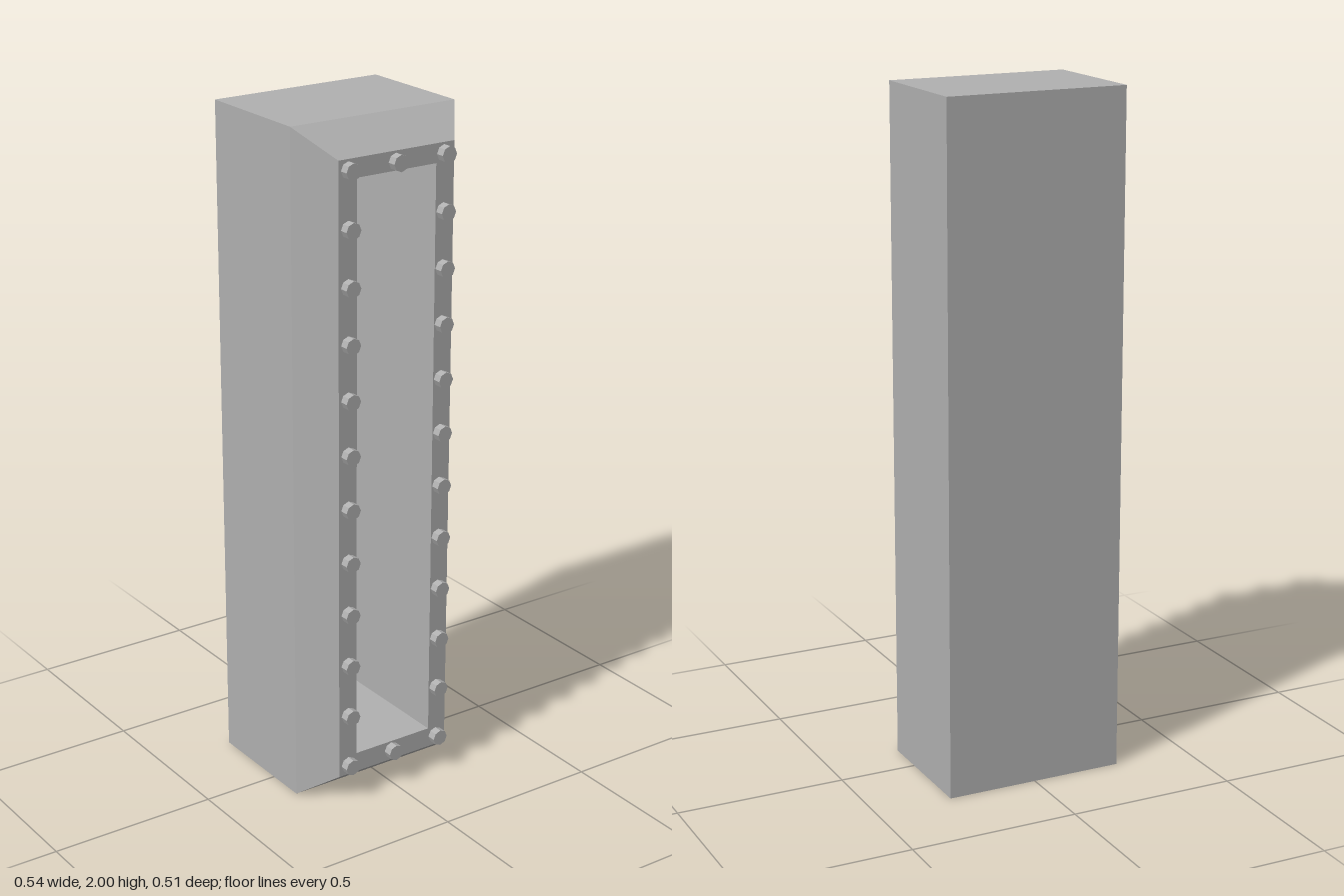
import * as THREE from 'three';

const steel = new THREE.MeshStandardMaterial({ color: 0xb0b0b0 });
steel.name = 'grey steel';

// Rectangular ring, counter-clockwise seen from the front
function ring(halfWidth, bottom, top, z) {
  return [[-halfWidth, bottom, z], [halfWidth, bottom, z], [halfWidth, top, z], [-halfWidth, top, z]];
}

// Flat-faced loft through rings, closed at both ends
function loftRings(rings) {
  const points = [];
  const quad = (a, b, c, d) => points.push(...a, ...b, ...c, ...a, ...c, ...d);
  const first = rings[0], last = rings[rings.length - 1];
  quad(first[3], first[2], first[1], first[0]);
  for (let i = 0; i < rings.length - 1; i++) {
    for (let k = 0; k < 4; k++) {
      const n = (k + 1) % 4;
      quad(rings[i][k], rings[i][n], rings[i + 1][n], rings[i + 1][k]);
    }
  }
  quad(...last);
  const geometry = new THREE.BufferGeometry();
  geometry.setAttribute('position', new THREE.Float32BufferAttribute(points, 3));
  geometry.computeVertexNormals();
  return geometry;
}

export function createModel() {
  const model = new THREE.Group();
  model.name = 'boltedHousing';

  // Box, bevelled edge, flat front rim, then the deep recess
  const housing = new THREE.Mesh(loftRings([
    ring(0.27, 0, 2, -0.253),
    ring(0.27, 0, 2, 0.12),
    ring(0.19, 0.08, 1.92, 0.227),
    ring(0.13, 0.14, 1.865, 0.227),
    ring(0.13, 0.14, 1.865, -0.2),
  ]), steel);
  housing.name = 'housing';
  model.add(housing);

  // Bolts around the rim
  const bolts = new THREE.Group();
  bolts.name = 'bolts';
  const boltGeometry = new THREE.CylinderGeometry(0.024, 0.024, 0.026, 8).toNonIndexed();
  boltGeometry.rotateX(Math.PI / 2);
  boltGeometry.computeVertexNormals();
  const addBolt = (x, y) => {
    const bolt = new THREE.Mesh(boltGeometry, steel);
    bolt.name = 'bolt';
    bolt.position.set(x, y, 0.24);
    bolts.add(bolt);
  };
  const rows = 12, low = 0.112, high = 1.89;
  for (let i = 0; i < rows; i++) {
    const y = low + (high - low) * i / (rows - 1);
    addBolt(-0.158, y);
    addBolt(0.156, y);
  }
  addBolt(-0.004, low);
  addBolt(-0.004, high);
  model.add(bolts);

  return model;
}
